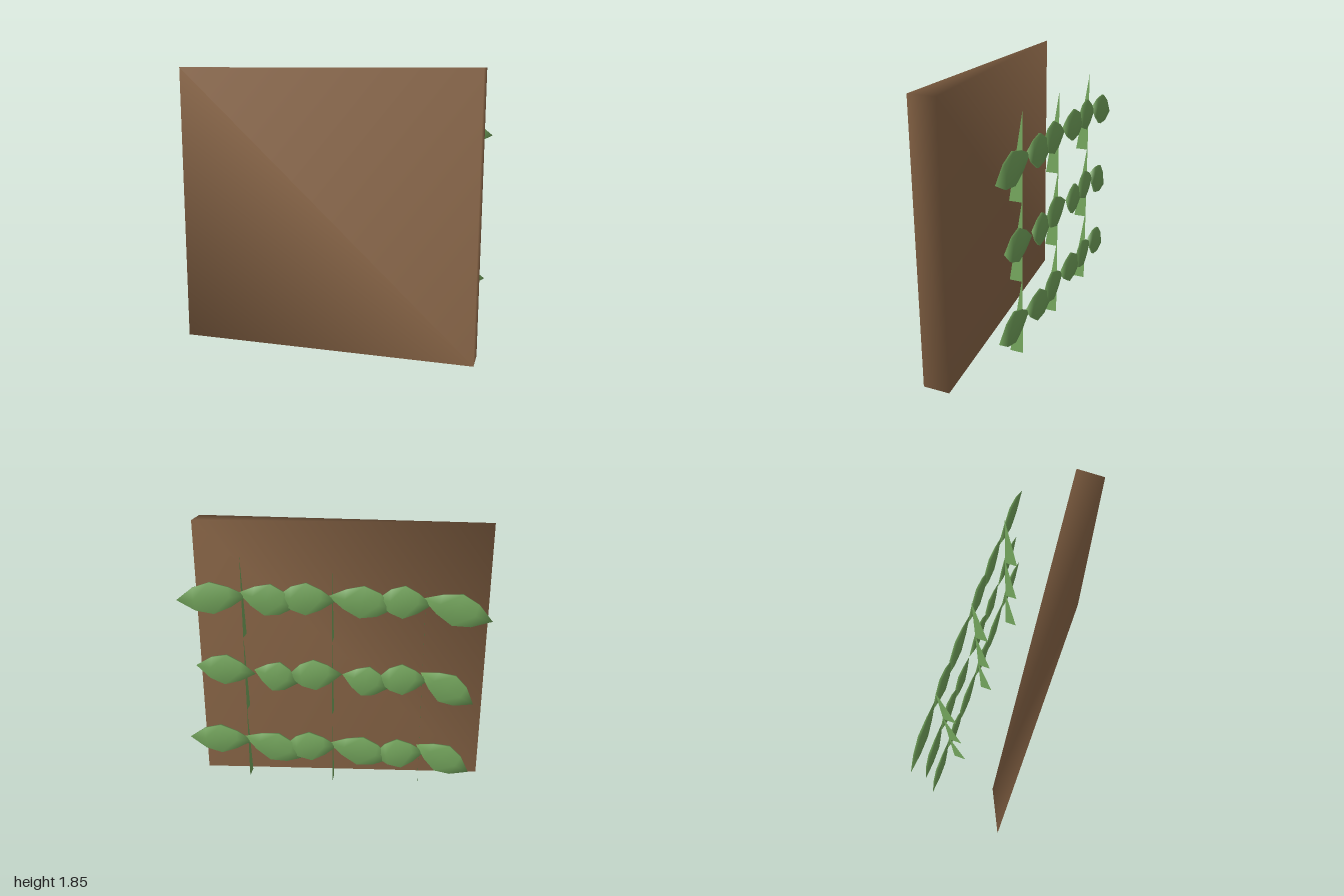
import * as THREE from 'three';
import { mergeVertices } from 'three/addons/utils/BufferGeometryUtils.js';

const brown = new THREE.MeshStandardMaterial({ color: 0x8f6a4a });
const green = new THREE.MeshStandardMaterial({ color: 0x78ab60, side: THREE.DoubleSide });

const shapeOf = (pts) => new THREE.Shape(pts.map(([x, y]) => new THREE.Vector2(x, y)));

// Shared vertices give soft shading across the edges
function smooth(geometry) {
  geometry.deleteAttribute('normal');
  geometry.deleteAttribute('uv');
  const merged = mergeVertices(geometry, 1e-4);
  merged.computeVertexNormals();
  return merged;
}

function add(parent, name, geometry, material) {
  const mesh = new THREE.Mesh(geometry, material);
  mesh.name = name;
  parent.add(mesh);
  return mesh;
}

// Pointed six-sided leaf along y, flattened by the mesh scale
const leafProfile = [[0, -1], [0.62, -0.5], [1, 0], [0.72, 0.5], [0, 1]];
const leafGeometry = smooth(
  new THREE.LatheGeometry(leafProfile.map(([r, y]) => new THREE.Vector2(r, y)), 6));

// Flat tapering stem standing in the y-z plane
const stemGeometry = new THREE.ShapeGeometry(
  shapeOf([[0.14, 0], [0.227, 0], [0.227, 0.55]])).rotateY(Math.PI / 2);

// A leaf from its base to its tip
function addLeaf(parent, [bx, by, tx, ty]) {
  const dx = tx - bx, dy = ty - by;
  const leaf = add(parent, 'leaf', leafGeometry, green);
  leaf.position.set((bx + tx) / 2, (by + ty) / 2, -0.255);
  leaf.rotation.z = Math.atan2(-dx, dy);
  leaf.scale.set(0.12, Math.hypot(dx, dy) / 2, 0.017);
}

export function createModel() {
  const model = new THREE.Group();

  // Wedge-shaped wall, thick at its left end
  const wall = new THREE.ExtrudeGeometry(
    shapeOf([[-1, -0.266], [0.98, -0.27], [0.98, -0.09]]),
    { depth: 1.85, bevelEnabled: false }).rotateX(-Math.PI / 2);
  add(model, 'wall', smooth(wall), brown);

  // Leaf pairs per row and column: base and tip, relative to the node
  const columns = [0.58, 0, -0.58];
  const rows = [
    { y: 0.42, pairs: [
      [[-0.04, 0.01, 0.4, 0.01], [0.02, 0.04, -0.4, -0.09]],
      [[-0.04, 0.01, 0.33, -0.02], [0.02, 0.03, -0.4, -0.06]],
      [[-0.04, 0.01, 0.3, -0.04], [0.02, 0.06, -0.33, -0.12]]] },
    { y: 0.925, pairs: [
      [[-0.08, 0, 0.32, 0.04], [-0.07, 0.03, -0.36, -0.05]],
      [[-0.07, 0.03, 0.29, 0], [-0.07, 0.03, -0.37, -0.05]],
      [[-0.04, 0.02, 0.29, 0.01], [0.01, 0.07, -0.33, -0.13]]] },
    { y: 1.445, pairs: [
      [[-0.05, 0.01, 0.42, -0.037], [0.01, 0.03, -0.36, -0.05]],
      [[-0.03, 0, 0.35, 0.01], [0.02, 0.03, -0.4, -0.03]],
      [[-0.04, 0, 0.3, 0.02], [0.02, 0.04, -0.41, -0.09]]] },
  ];

  for (const { y, pairs } of rows) {
    columns.forEach((x, i) => {
      const plant = new THREE.Group();
      plant.name = 'vineSegment';
      plant.position.set(x, y, 0);
      model.add(plant);
      add(plant, 'stem', stemGeometry, green).position.y = -0.284;
      pairs[i].forEach((leaf) => addLeaf(plant, leaf));
    });
  }
  return model;
}
